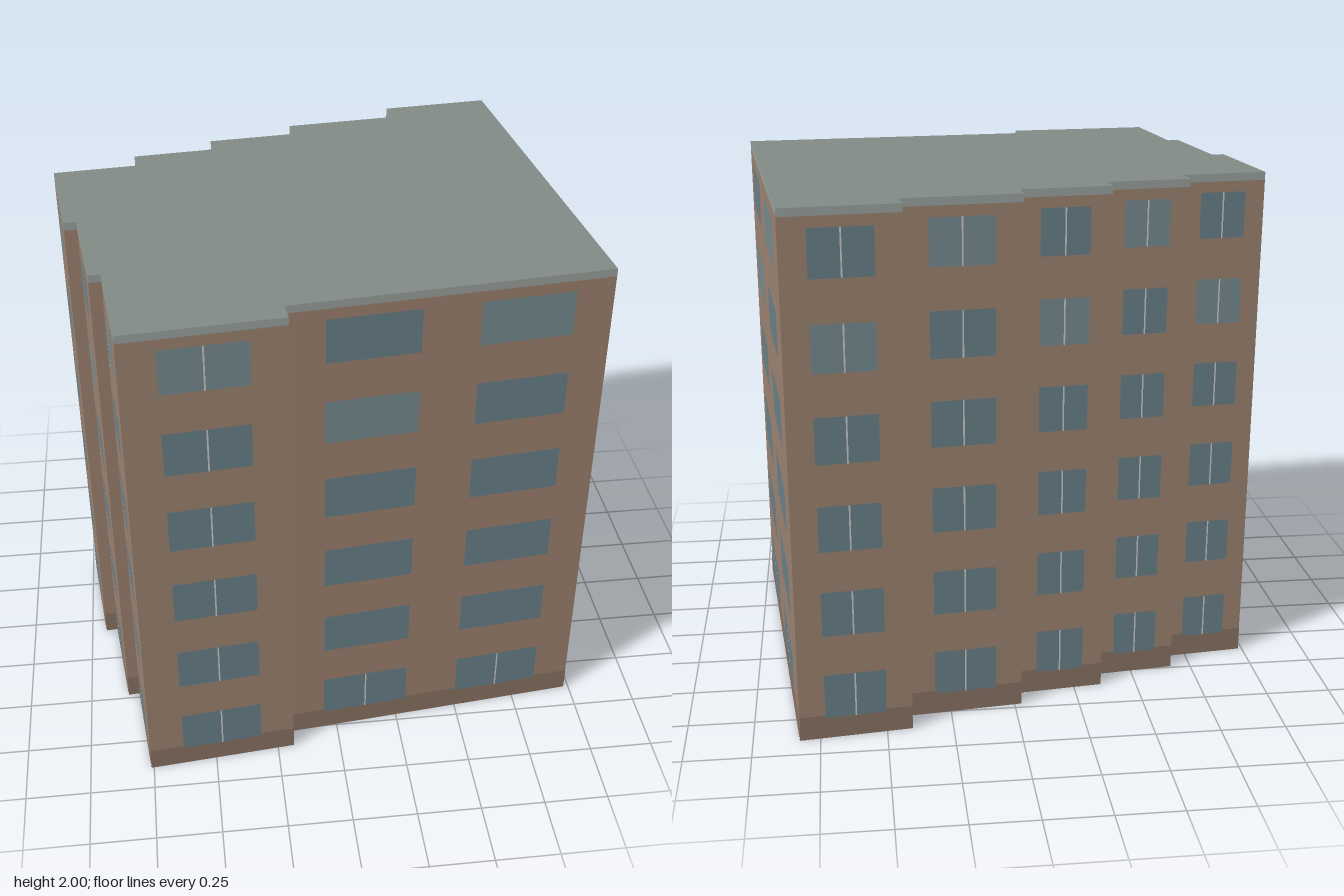
import * as THREE from 'three';

const mat = (color, side = THREE.FrontSide) => new THREE.MeshStandardMaterial({ color, side });

// Stepped footprint as [x, z], running along the front to the right and round the back;
// the third value is the number of window bays on the wall that starts at that corner.
const OUTLINE = [
  [-0.76, 0.896, 1], [-0.186, 0.84, 0], [-0.194, 0.765, 2], [0.98, 0.642, 2],
  [0.826, -0.902, 1], [0.404, -0.857, 0], [0.412, -0.765, 1], [-0.026, -0.72, 0],
  [-0.018, -0.638, 1], [-0.36, -0.603, 0], [-0.352, -0.522, 1], [-0.67, -0.488, 0],
  [-0.661, -0.402, 1], [-0.985, -0.369, 1], [-0.938, 0.07, 0], [-0.89, 0.066, 1],
  [-0.845, 0.48, 0], [-0.8, 0.475, 1],
];
const HEIGHT = 2, TRIM = 0.03, BASE = 0.095;
const FLOORS = 6, PITCH = 0.334, SILL = 0.085, WINDOW_H = 0.175;
// Window spans as fractions of the wall length, by number of bays
const SPANS = { 0: [], 1: [[0.23, 0.77]], 2: [[0.12, 0.41], [0.59, 0.88]] };

export function createModel() {
  const building = new THREE.Group();
  building.name = 'apartmentBlock';
  const materials = {
    wall: mat(0x9c8270, THREE.DoubleSide),
    base: mat(0x8a7262),
    trim: mat(0x9aa29e, THREE.DoubleSide),
    roof: mat(0x838b87, THREE.DoubleSide),
    glass: mat(0x69808a),
    paleGlass: mat(0x758b90),
    mullion: mat(0xc4c8c4),
  };

  // Upright panel in a wall's own frame: u along the wall, y up, d outwards
  const panel = (parent, name, material, u0, u1, y0, y1, d) => {
    const mesh = new THREE.Mesh(new THREE.PlaneGeometry(u1 - u0, y1 - y0), material);
    mesh.position.set((u0 + u1) / 2, (y0 + y1) / 2, d);
    mesh.name = name;
    parent.add(mesh);
  };

  let bay = 0;
  OUTLINE.forEach(([x, z, bays], i) => {
    const [nx, nz] = OUTLINE[(i + 1) % OUTLINE.length];
    const length = Math.hypot(nx - x, nz - z);
    const facade = new THREE.Group();
    facade.name = bays ? 'facade' : 'stepReturn';
    facade.position.set(x, 0, z);
    facade.rotation.y = Math.atan2(z - nz, nx - x);
    building.add(facade);

    // Wall, plinth band and roof-edge trim
    panel(facade, 'wall', materials.wall, 0, length, 0, HEIGHT - TRIM, 0);
    panel(facade, 'baseBand', materials.base, 0, length, 0, BASE, 0.0015);
    panel(facade, 'roofTrim', materials.trim, 0, length, HEIGHT - TRIM, HEIGHT, 0);

    // Window columns, one pale pane in each near the top
    for (const [a, b] of SPANS[bays]) {
      const paleFloor = bay++ % 2 ? FLOORS - 2 : FLOORS - 1;
      const mid = (a + b) / 2 * length;
      for (let f = 0; f < FLOORS; f++) {
        const y = SILL + f * PITCH;
        const glass = f === paleFloor ? materials.paleGlass : materials.glass;
        panel(facade, 'window', glass, a * length, b * length, y, y + WINDOW_H, 0.003);
        // Wide bays are divided on the ground floor only
        if (bays === 1 || f === 0) {
          panel(facade, 'mullion', materials.mullion, mid - 0.003, mid + 0.003, y, y + WINDOW_H, 0.0045);
        }
      }
    }
  });

  // Flat roof
  const shape = new THREE.Shape(OUTLINE.map(([x, z]) => new THREE.Vector2(x, -z)));
  const roof = new THREE.Mesh(new THREE.ShapeGeometry(shape).rotateX(-Math.PI / 2), materials.roof);
  roof.position.y = HEIGHT;
  roof.name = 'roof';
  building.add(roof);

  return building;
}
